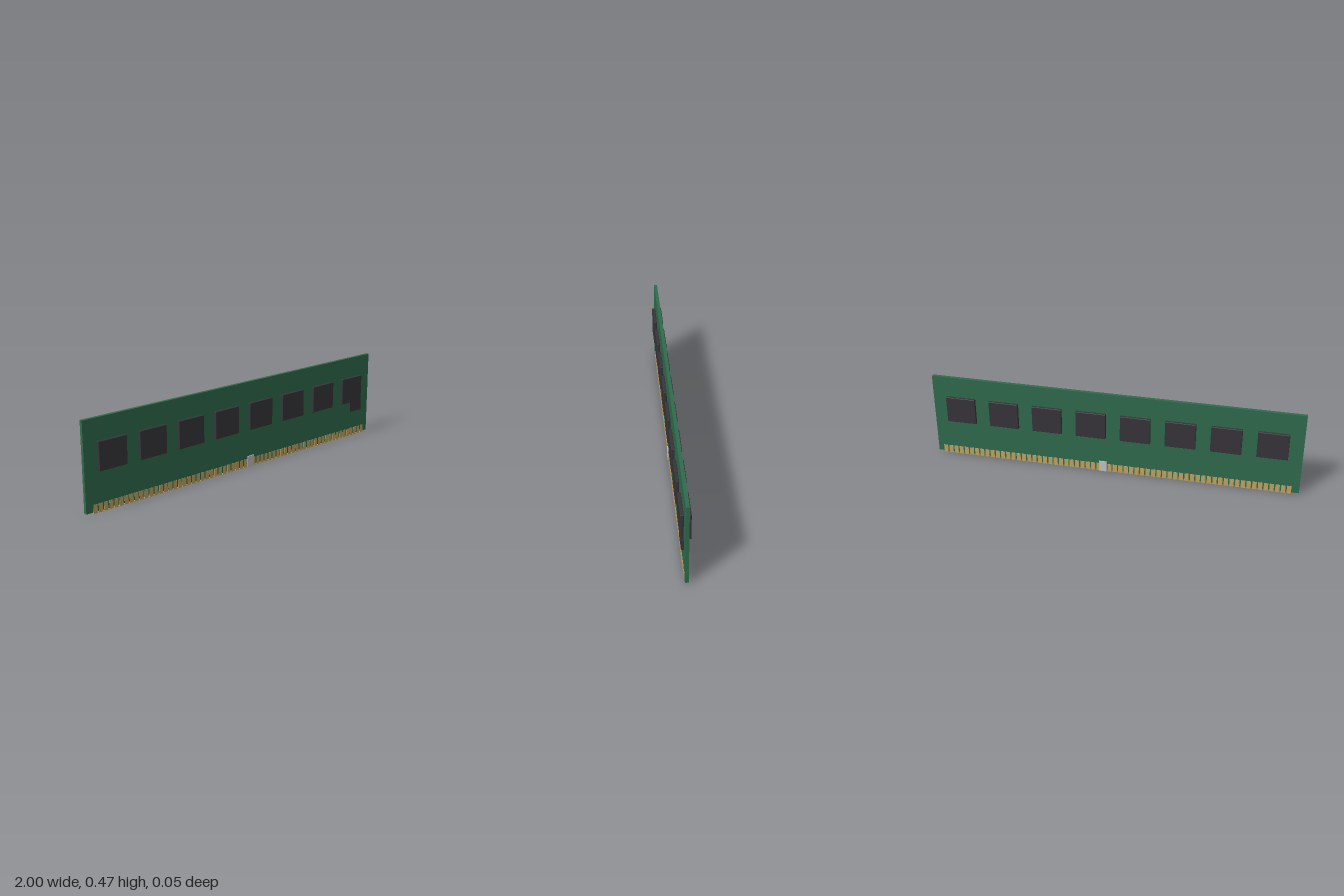
import * as THREE from 'three';
import { RoundedBoxGeometry } from 'three/addons/geometries/RoundedBoxGeometry.js';

const material = (name, color) => {
  const m = new THREE.MeshStandardMaterial({ color });
  m.name = name;
  return m;
};

export function createModel() {
  const group = new THREE.Group();
  group.name = 'memoryModule';
  const green = material('boardGreen', 0x2f6b4d);
  const black = material('chipBlack', 0x38353a);
  const gold = material('contactGold', 0xc4a562);
  const silver = material('notchSilver', 0xc2c2c2);

  const add = (name, geometry, mat, x, y, z) => {
    const mesh = new THREE.Mesh(geometry, mat);
    mesh.name = name;
    mesh.position.set(x, y, z);
    group.add(mesh);
  };

  // circuit board
  add('board', new THREE.BoxGeometry(2, 0.467, 0.018), green, 0, 0.2415, 0);

  // eight memory chips on each face
  const chip = new RoundedBoxGeometry(0.163, 0.149, 0.017, 2, 0.003);
  for (let i = 0; i < 8; i++) {
    const x = (i - 3.5) * 0.241;
    add('frontChip', chip, black, x, 0.2865, 0.018);
    add('backChip', chip, black, x, 0.2865, -0.018);
  }

  // small controller chip, front only
  add('controllerChip', new THREE.BoxGeometry(0.092, 0.06, 0.014), black, 0.884, 0.182, 0.015);

  // edge contacts wrapping the lower edge
  const contact = new THREE.BoxGeometry(0.023, 0.046, 0.021);
  const count = 64;
  for (let i = 0; i < count; i++) {
    add('contact', contact, gold, -0.947 + (i * 1.905) / (count - 1), 0.023, 0);
  }

  // key notch block
  add('keyNotch', new THREE.BoxGeometry(0.043, 0.061, 0.03), silver, 0.056, 0.0305, 0);

  return group;
}
